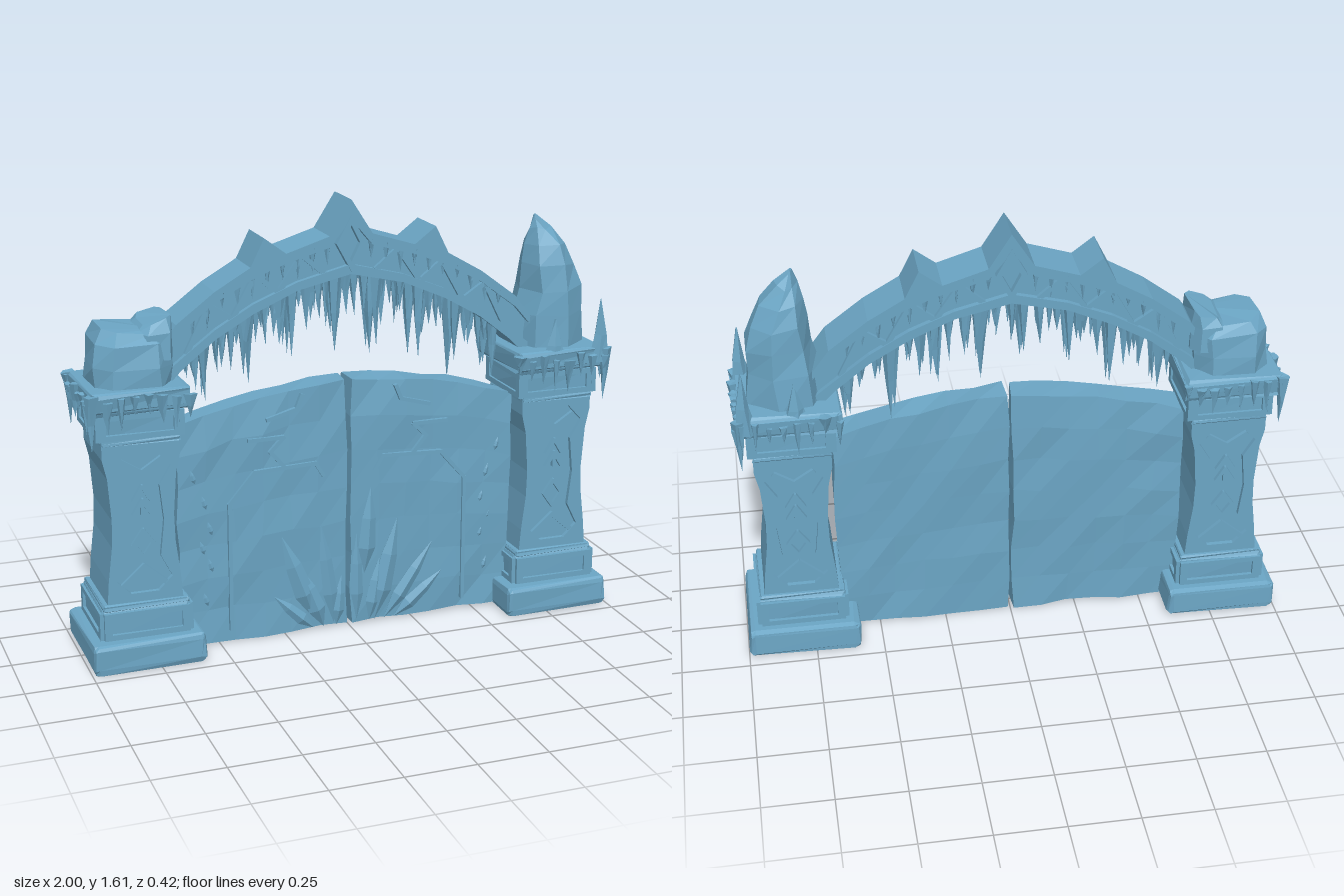
import * as THREE from 'three';
import { RoundedBoxGeometry } from 'three/addons/geometries/RoundedBoxGeometry.js';

const ice = new THREE.MeshStandardMaterial({ color: 0x6ba5c4, flatShading: true });
ice.name = 'frozen stone blue';

let seed = 7;
const rnd = (a = 0, b = 1) => {
  seed = (seed * 16807) % 2147483647;
  return a + (b - a) * (seed / 2147483647);
};

// Position-based chipping, so that shared corners stay together
function chip(geo, amount) {
  const p = geo.attributes.position;
  const noise = (x, y, z, k) => {
    const s = Math.sin(Math.round(x * 500) * 12.99 + Math.round(y * 500) * 78.23 + Math.round(z * 500) * 37.72 + k * 4.1) * 43758.55;
    return (s - Math.floor(s) - 0.5) * 2 * amount;
  };
  for (let i = 0; i < p.count; i++) {
    const x = p.getX(i), y = p.getY(i), z = p.getZ(i);
    p.setXYZ(i, x + noise(x, y, z, 1), Math.max(0, y + noise(x, y, z, 2)), z + noise(x, y, z, 3));
  }
  return geo;
}

function add(parent, name, geo) {
  const g = geo.index ? geo.toNonIndexed() : geo;
  g.computeVertexNormals();
  const mesh = new THREE.Mesh(g, ice);
  mesh.name = name;
  parent.add(mesh);
  return mesh;
}

const shapeOf = pts => new THREE.Shape(pts.map(p => new THREE.Vector2(p[0], p[1])));

// Outline extruded evenly to both sides of z = 0
function slab(pts, half, holes = []) {
  const s = shapeOf(pts);
  s.holes = holes.map(h => new THREE.Path(h.map(p => new THREE.Vector2(p[0], p[1]))));
  return new THREE.ExtrudeGeometry(s, { depth: half * 2, bevelEnabled: false }).translate(0, 0, -half);
}

const rect = (w, h, y = 0) => [[-w, y - h], [w, y - h], [w, y + h], [-w, y + h]];

function block(parent, name, w, h, d, y0, r = 0.012, rough = 0.004) {
  return add(parent, name, chip(new RoundedBoxGeometry(w, h, d, 1, r).translate(0, y0 + h / 2, 0), rough));
}

// Straight raised ridge between two points on a face
function ridge(parent, name, a, b, w, z, d = 0.02) {
  const dx = b[0] - a[0], dy = b[1] - a[1];
  const g = new THREE.BoxGeometry(Math.hypot(dx, dy) + w * 0.6, w, d).rotateZ(Math.atan2(dy, dx));
  return add(parent, name, g.translate((a[0] + b[0]) / 2, (a[1] + b[1]) / 2, z));
}

function icicle(parent, x, y, z, len, r) {
  const g = new THREE.ConeGeometry(r, len, 5, 2).rotateX(Math.PI).rotateY(rnd(0, 3)).translate(0, -len / 2, 0);
  return add(parent, 'icicle', chip(g.translate(x, y, z), r * 0.16));
}

// Lofted rock from rings [y, xMin, xMax, halfDepth, slope of the ring in x]
function rock(parent, name, rings, sides, rough, power = 1) {
  const pos = [], idx = [], n = sides;
  const soft = v => Math.sign(v) * Math.abs(v) ** power;
  for (const [y, x0, x1, hz, tilt = 0] of rings)
    for (let j = 0; j < n; j++) {
      const a = ((j + 0.5) / n) * Math.PI * 2, c = soft(Math.cos(a));
      pos.push((x0 + x1) / 2 + c * (x1 - x0) / 2, y + c * tilt, soft(Math.sin(a)) * hz);
    }
  for (let i = 0; i < rings.length - 1; i++)
    for (let j = 0; j < n; j++) {
      const a = i * n + j, b = i * n + (j + 1) % n;
      idx.push(a, a + n, b, b, a + n, b + n);
    }
  const top = (rings.length - 1) * n;
  for (let j = 1; j < n - 1; j++) idx.push(top, top + j + 1, top + j);
  const g = new THREE.BufferGeometry();
  g.setAttribute('position', new THREE.Float32BufferAttribute(pos, 3));
  g.setIndex(idx);
  return add(parent, name, chip(g, rough));
}

// Pointed shard from a base point to a tip
function shard(parent, a, b, r, z) {
  const dx = b[0] - a[0], dy = b[1] - a[1], len = Math.hypot(dx, dy);
  const prof = [[0.001, 0], [r, len * 0.3], [r * 0.8, len * 0.65], [0.001, len]].map(p => new THREE.Vector2(...p));
  const g = new THREE.LatheGeometry(prof, 5).scale(1, 1, 0.7).rotateZ(Math.atan2(-dx, dy));
  return add(parent, 'crystalShard', g.translate(a[0], a[1], z));
}

function pillar(side) {
  const g = new THREE.Group();
  g.name = side > 0 ? 'leftPillar' : 'rightPillar';
  block(g, 'base', 0.41, 0.11, 0.42, 0, 0.02, 0.005);
  block(g, 'plinth', 0.315, 0.12, 0.315, 0.105);
  block(g, 'plinthLip', 0.31, 0.022, 0.31, 0.215, 0.006, 0.003);
  block(g, 'collar', 0.295, 0.11, 0.27, 0.825);
  block(g, 'collarLip', 0.28, 0.022, 0.29, 0.815, 0.006, 0.003);
  block(g, 'cap', 0.355, 0.08, 0.36, 0.935, 0.015, 0.006);
  // Framed panels round plinth and collar
  for (let k = 0; k < 4; k++) {
    for (const [y, w, h, d] of [[0.163, 0.155, 0.05, 0.16], [0.882, 0.148, 0.046, k % 2 ? 0.148 : 0.138]]) {
      const f = slab(rect(w, h), 0.009, [rect(w - 0.028, h - 0.02)]).translate(0, y, d).rotateY(k * Math.PI / 2);
      add(g, 'panelFrame', f);
    }
  }
  // Waisted shaft with a carved border on front and back
  const right = [[0.137, 0.23], [0.13, 0.32], [0.114, 0.45], [0.111, 0.55], [0.122, 0.7], [0.138, 0.77], [0.138, 0.825]];
  const outline = [...right, ...right.map(p => [-p[0], p[1]]).reverse()];
  add(g, 'shaft', slab(outline, 0.126));
  const hole = [[0.05, 0.27], [0.1, 0.32], [0.06, 0.4], [0.075, 0.53], [0.062, 0.66], [0.105, 0.73], [0.05, 0.79]];
  add(g, 'shaftBorder', slab(outline, 0.143, [[...hole, ...hole.map(p => [-p[0], p[1]]).reverse()]]));
  for (const z of [-0.131, 0.131]) {
    for (const s of [-1, 1]) {
      ridge(g, 'chevron', [0, 0.365], [s * 0.075, 0.3], 0.018, z);
      ridge(g, 'chevron', [0, 0.71], [s * 0.07, 0.755], 0.018, z);
      ridge(g, 'lozengeEdge', [0, 0.4], [s * 0.035, 0.45], 0.013, z);
      ridge(g, 'lozengeEdge', [s * 0.035, 0.45], [0, 0.5], 0.013, z);
      ridge(g, 'carving', [s * 0.03, 0.56], [0, 0.61], 0.013, z);
      ridge(g, 'carving', [s * 0.03, 0.61], [0, 0.66], 0.013, z);
    }
    ridge(g, 'carving', [0, 0.56], [0, 0.6], 0.013, z);
  }
  // Icicles hanging round the cap
  for (let k = 0; k < 4; k++) {
    if (k === (side > 0 ? 3 : 1)) continue;
    const n = 8;
    for (let i = 0; i < n; i++) {
      const u = (i / (n - 1) - 0.5) * 0.34, d = 0.178 + rnd(0, 0.008);
      const a = k * Math.PI / 2, x = u * Math.cos(a) + d * Math.sin(a), z = d * Math.cos(a) - u * Math.sin(a);
      icicle(g, x, rnd(0.975, 1.01), z, rnd(0.06, 0.13), rnd(0.014, 0.024));
    }
  }
  for (const z of [-0.175, 0.175]) icicle(g, side * 0.175, 1.01, z, 0.2, 0.027);
  g.position.x = side * 0.79;
  return g;
}

function doorLeaf(side) {
  const g = new THREE.Group();
  g.name = side > 0 ? 'leftDoor' : 'rightDoor';
  const geo = new THREE.BoxGeometry(0.637, 1, 0.12, 6, 7, 1);
  const p = geo.attributes.position;
  for (let i = 0; i < p.count; i++) {
    const x = p.getX(i) + side * 0.3265, t = p.getY(i) + 0.5, ax = Math.abs(x);
    const top = 0.95 - 0.1 * ax - 0.19 * ax ** 3;
    p.setXYZ(i, x, 0.005 + t * (top - 0.005), p.getZ(i) * (t > 0.99 ? 0.88 : 1));
  }
  add(g, 'doorSlab', chip(geo, 0.0065));
  // Cracked ridges, edge chips and shards on the front
  const line = pts => pts.slice(1).forEach((b, i) =>
    ridge(g, 'crackRidge', [side * pts[i][0], pts[i][1]], [side * b[0], b[1]], 0.014, 0.059, 0.026));
  line([[0.455, 0.05], [0.455, 0.53], [0.36, 0.64], [0.13, 0.65]]);
  line([[0.13, 0.65], [0.1, 0.6]]);
  line([[0.25, 0.65], [0.3, 0.71], [0.25, 0.76], [0.38, 0.76]]);
  line([[0.18, 0.95 - 0.04], [0.2, 0.86], [0.31, 0.83]]);
  for (const [x, y] of [[0.54, 0.52], [0.52, 0.42], [0.55, 0.35], [0.52, 0.28], [0.58, 0.62], [0.54, 0.15]])
    shard(g, [side * x, y], [side * (x + 0.015), y + 0.05], 0.01, 0.06);
  const shards = side > 0
    ? [[0.06, 0.2, 0.085, 0.53, 0.035], [0.03, 0.02, 0.03, 0.36, 0.025], [0.1, 0.01, 0.19, 0.4, 0.04], [0.14, 0.01, 0.33, 0.29, 0.03], [0.18, 0.01, 0.37, 0.17, 0.028], [0.08, 0.01, 0.12, 0.25, 0.03]]
    : [[-0.14, 0.05, -0.26, 0.38, 0.04], [-0.06, 0.02, -0.11, 0.41, 0.03], [-0.1, 0.01, -0.19, 0.25, 0.035], [-0.05, 0.01, -0.03, 0.2, 0.025], [-0.14, 0.01, -0.29, 0.15, 0.025]];
  for (const [x0, y0, x1, y1, r] of shards) shard(g, [x0, y0], [x1, y1], r, 0.065);
  return g;
}

function arch() {
  const g = new THREE.Group();
  g.name = 'arch';
  const mirror = h => [...h.map(p => [-p[0], p[1]]), ...h.slice(0, -1).reverse()];
  // Half curves from the pillar to the crown
  const jagged = mirror([[0.7, 1.13], [0.64, 1.21], [0.5, 1.315], [0.37, 1.39], [0.32, 1.49], [0.24, 1.43], [0.08, 1.48], [0, 1.605]]);
  const smooth = mirror([[0.7, 1.1], [0.64, 1.17], [0.5, 1.275], [0.36, 1.35], [0.24, 1.395], [0.08, 1.44], [0, 1.535]]);
  const mid = mirror([[0.71, 1.02], [0.62, 1.09], [0.5, 1.18], [0.36, 1.26], [0.2, 1.325], [0, 1.375]]);
  const inner = mirror([[0.7, 0.97], [0.62, 1.05], [0.5, 1.145], [0.36, 1.225], [0.2, 1.295], [0, 1.34]]);
  add(g, 'archCore', slab([...inner, ...[...jagged].reverse()], 0.064));
  add(g, 'upperRim', slab([...smooth, ...[...jagged].reverse()], 0.087));
  add(g, 'lowerRim', slab([...inner, ...[...mid].reverse()], 0.085));
  const heightOn = (pts, x) => {
    const i = Math.max(1, pts.findIndex(p => p[0] >= x)), [a, b] = [pts[i - 1], pts[i]];
    return a[1] + (b[1] - a[1]) * (x - a[0]) / (b[0] - a[0]);
  };
  // Crown lozenge and zigzag relief on both faces
  add(g, 'crownLozenge', slab([[0, 1.35], [0.055, 1.45], [0, 1.55], [-0.055, 1.45]], 0.089, [[[0, 1.385], [0.033, 1.45], [0, 1.515], [-0.033, 1.45]]]));
  for (const z of [-0.07, 0.07]) {
    for (const s of [-1, 1])
      for (let i = 0; i < 6; i++) {
        const x = s * (0.1 + i * 0.085), x2 = x + s * 0.075;
        const lo = heightOn(mid, x), hi = heightOn(smooth, x2);
        ridge(g, 'relief', i % 2 ? [x, heightOn(smooth, x)] : [x, lo], i % 2 ? [x2, heightOn(mid, x2)] : [x2, hi], 0.018, z);
      }
    for (let x = -0.58; x < 0.6; x += 0.055)
      if (Math.abs(x) > 0.08) icicle(g, x, heightOn(smooth, x) + 0.02, z * 1.05, rnd(0.05, 0.1), 0.014);
  }
  // Fringe of long icicles below
  for (const z of [-0.05, 0, 0.05])
    for (let i = 0; i < 23; i++) {
      const x = -0.58 + i * 0.0525 + rnd(-0.012, 0.012);
      const len = (i % 3 === 1 ? rnd(0.2, 0.3) : rnd(0.08, 0.19)) * (Math.abs(x) > 0.5 ? 0.7 : 1);
      icicle(g, x, heightOn(inner, x) + 0.02, z, len + 0.02, 0.014 + len * 0.05);
    }
  return g;
}

export function createModel() {
  const root = new THREE.Group();
  root.name = 'frozenGate';
  for (const s of [-1, 1]) root.add(pillar(s), doorLeaf(s));
  root.add(arch());
  // Tall crystal on one pillar
  rock(root, 'tallCrystal', [[1, 0.645, 0.945, 0.15], [1.13, 0.665, 0.935, 0.14], [1.22, 0.685, 0.925, 0.13],
    [1.31, 0.695, 0.905, 0.12], [1.38, 0.71, 0.865, 0.085], [1.44, 0.73, 0.805, 0.045], [1.485, 0.742, 0.748, 0.004]], 7, 0.008);
  for (const z of [-0.165, 0.165]) {
    rock(root, 'cornerSpike', [[0.96, 0.9, 0.985, 0.035], [1.06, 0.925, 0.975, 0.025], [1.19, 0.945, 0.949, 0.002]], 5, 0.003).position.z = z;
    rock(root, 'lowSpike', [[0.96, 0.72, 0.83, 0.03], [1.03, 0.74, 0.8, 0.024], [1.13, 0.768, 0.772, 0.002]], 5, 0.003).position.z = z * 0.93;
  }
  // Broken stump on the other
  rock(root, 'brokenStump', [[1, -0.94, -0.65, 0.15], [1.08, -0.935, -0.65, 0.148], [1.16, -0.93, -0.65, 0.135],
    [1.2, -0.9, -0.68, 0.105, -0.012]], 8, 0.007, 0.6);
  rock(root, 'stumpRidge', [[1.1, -0.79, -0.645, 0.13], [1.19, -0.775, -0.648, 0.12], [1.228, -0.75, -0.655, 0.1, 0.015]], 8, 0.005, 0.5);
  return root;
}
